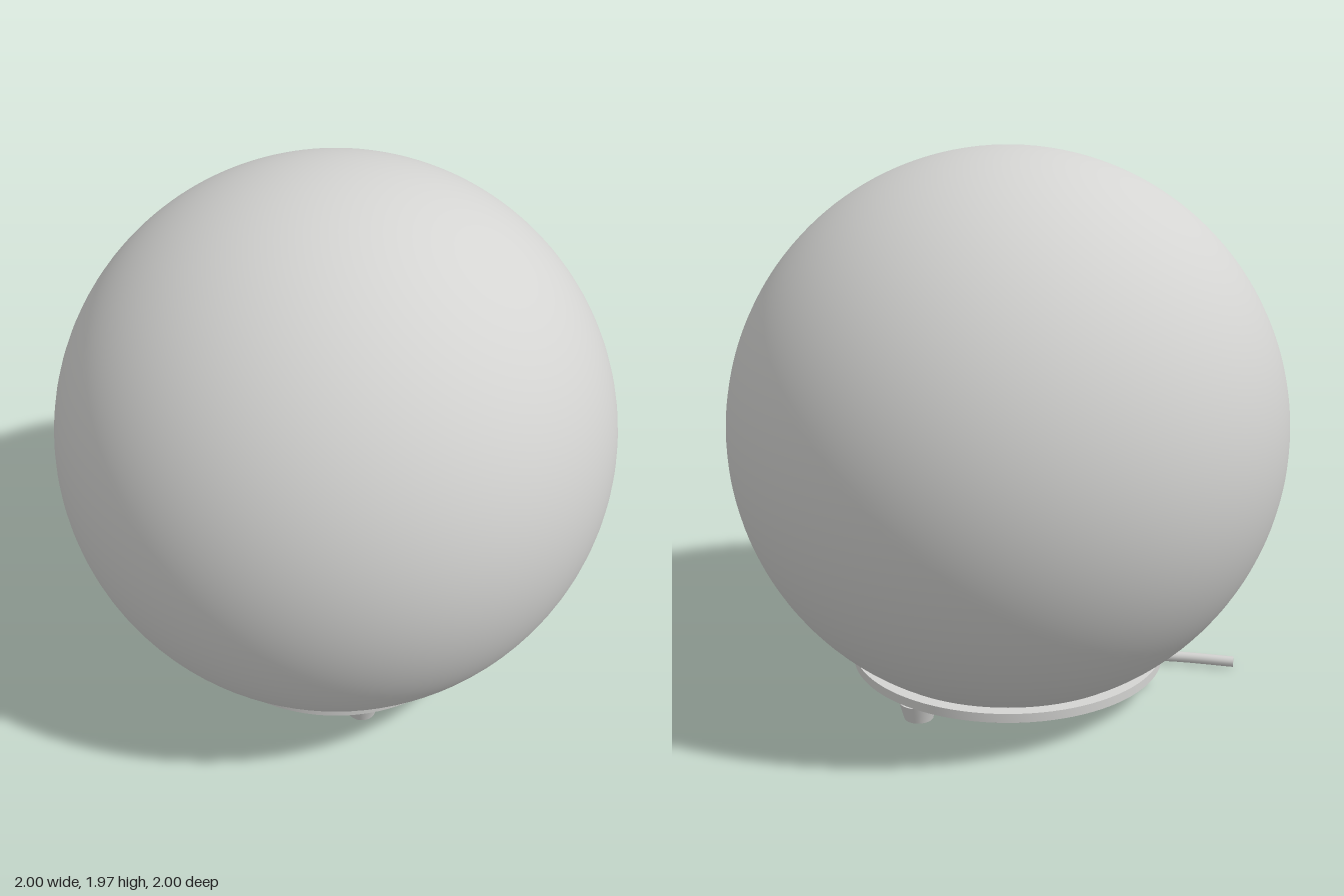
import * as THREE from 'three';
import { toCreasedNormals } from 'three/addons/utils/BufferGeometryUtils.js';

const paleGrey = new THREE.MeshStandardMaterial({ color: 0xd4d4d2, side: THREE.DoubleSide });
paleGrey.name = 'paleGrey';

const CENTRE_Y = 0.97; // centre of the globe
const FLOOR_Y = 0.065; // underside of the base
const RIM_Y = 0.125; // top of the base

export function createModel() {
  const model = new THREE.Group();
  model.name = 'globeLamp';
  const add = (name, geometry, x = 0, y = 0, z = 0) => {
    const mesh = new THREE.Mesh(geometry, paleGrey);
    mesh.name = name;
    mesh.position.set(x, y, z);
    model.add(mesh);
    return mesh;
  };

  // Hollow globe, open where it meets the base
  const openAngle = Math.PI - Math.acos((CENTRE_Y - RIM_Y) / 1);
  add('globe', new THREE.SphereGeometry(1, 96, 64, 0, Math.PI * 2, 0, openAngle), 0, CENTRE_Y);

  // Base rim: bevelled lower edge, upright band and flat lip
  const rimProfile = [[0.53, FLOOR_Y], [0.58, 0.092], [0.58, RIM_Y], [0.52, RIM_Y]]
    .map(([r, y]) => new THREE.Vector2(r, y));
  add('baseRim', toCreasedNormals(new THREE.LatheGeometry(rimProfile, 96), 0.4));

  // Base floor with four round vents
  const floor = new THREE.Shape().absarc(0, 0, 0.53, 0, Math.PI * 2);
  for (let i = 0; i < 4; i++) {
    const a = (i * Math.PI) / 2;
    floor.holes.push(new THREE.Path().absarc(0.245 * Math.cos(a), 0.245 * Math.sin(a), 0.105, 0, Math.PI * 2, true));
  }
  const floorGeometry = new THREE.ExtrudeGeometry(floor, { depth: 0.008, bevelEnabled: false, curveSegments: 48 });
  floorGeometry.rotateX(-Math.PI / 2);
  add('baseFloor', floorGeometry, 0, FLOOR_Y);

  // Three tapered feet
  for (let i = 0; i < 3; i++) {
    const a = Math.PI + (i * Math.PI * 2) / 3;
    add('foot', new THREE.CylinderGeometry(0.07, 0.052, FLOOR_Y, 32),
      0.48 * Math.cos(a), FLOOR_Y / 2, 0.48 * Math.sin(a));
  }

  // Cable leaving the middle of the base and bending away to the side
  const path = new THREE.CatmullRomCurve3([
    [0, 0.075, 0], [-0.02, 0.05, 0.015], [-0.08, 0.03, 0.05],
    [-0.2, 0.025, 0.115], [-0.4, 0.025, 0.18], [-0.62, 0.025, 0.203], [-0.84, 0.025, 0.2],
  ].map((p) => new THREE.Vector3(...p)));
  add('cable', new THREE.TubeGeometry(path, 64, 0.02, 16));

  // Flat cut end of the cable
  const cableEnd = add('cableEnd', new THREE.CircleGeometry(0.02, 16));
  cableEnd.position.copy(path.getPoint(1));
  cableEnd.lookAt(path.getPoint(1).add(path.getTangent(1)));

  return model;
}
